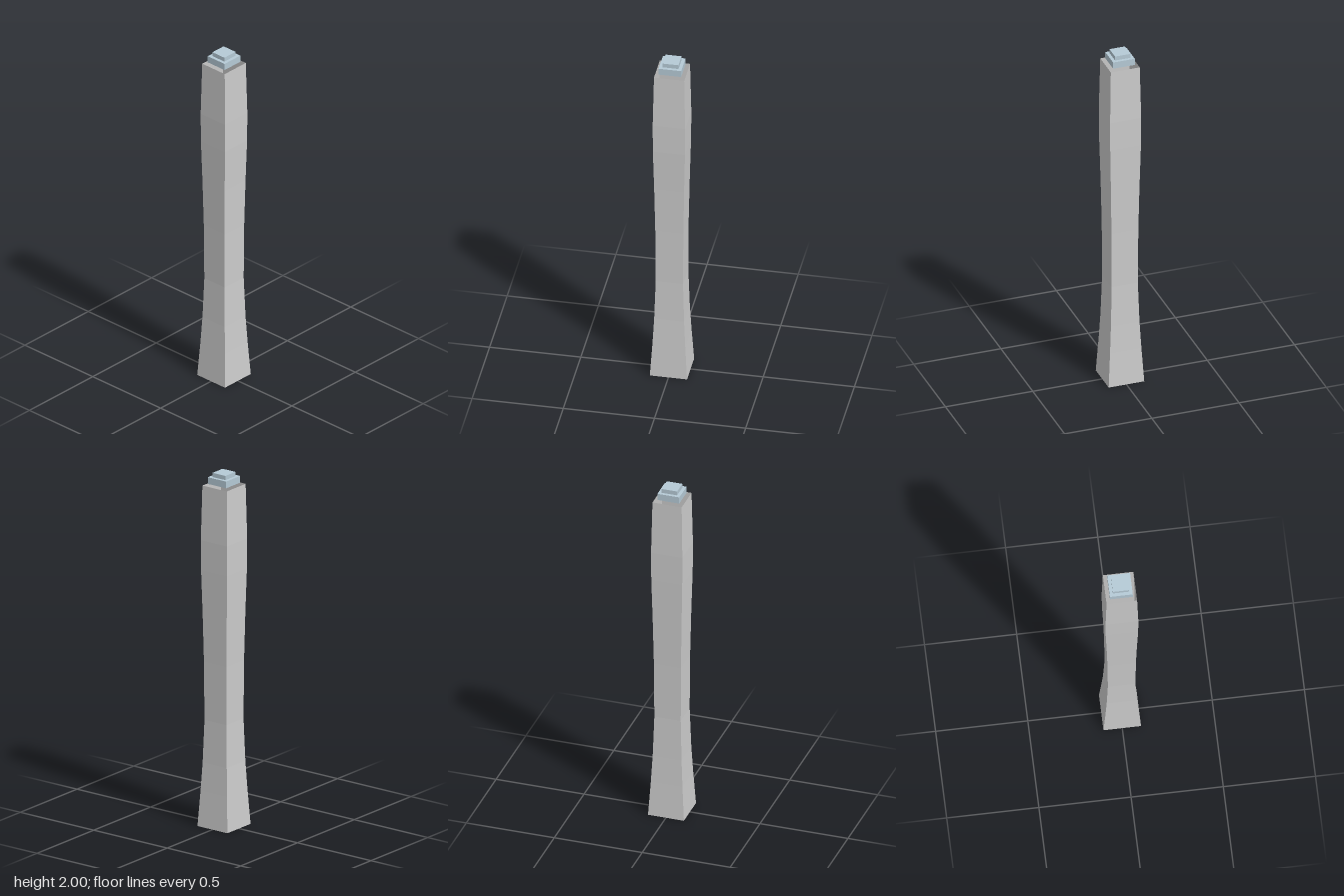
import * as THREE from 'three';

export function createModel() {
  const model = new THREE.Group();
  const wallMaterial = new THREE.MeshStandardMaterial({
    color: 0xcccccc, flatShading: true, side: THREE.DoubleSide,
  });
  const capMaterial = new THREE.MeshStandardMaterial({ color: 0xb5cad6, flatShading: true });

  // Square tower shell, open at both ends: [height, half width]
  const profile = [
    [0, 0.102], [0.2, 0.09], [0.36, 0.082], [0.6, 0.075], [0.93, 0.077],
    [1.2, 0.082], [1.45, 0.088], [1.62, 0.089], [1.93, 0.083],
  ].map(([y, half]) => new THREE.Vector2(half * Math.SQRT2, y));
  const tower = new THREE.Mesh(new THREE.LatheGeometry(profile, 4, Math.PI / 4), wallMaterial);
  tower.name = 'towerShell';
  model.add(tower);

  // Stepped roof blocks, sitting clear of the shell's rim
  const addBlock = (name, width, bottom, top) => {
    const block = new THREE.Mesh(new THREE.BoxGeometry(width, top - bottom, width), capMaterial);
    block.position.y = (bottom + top) / 2;
    block.name = name;
    model.add(block);
  };
  addBlock('lowerRoofBlock', 0.124, 1.938, 1.976);
  addBlock('upperRoofBlock', 0.088, 1.976, 2);

  return model;
}
